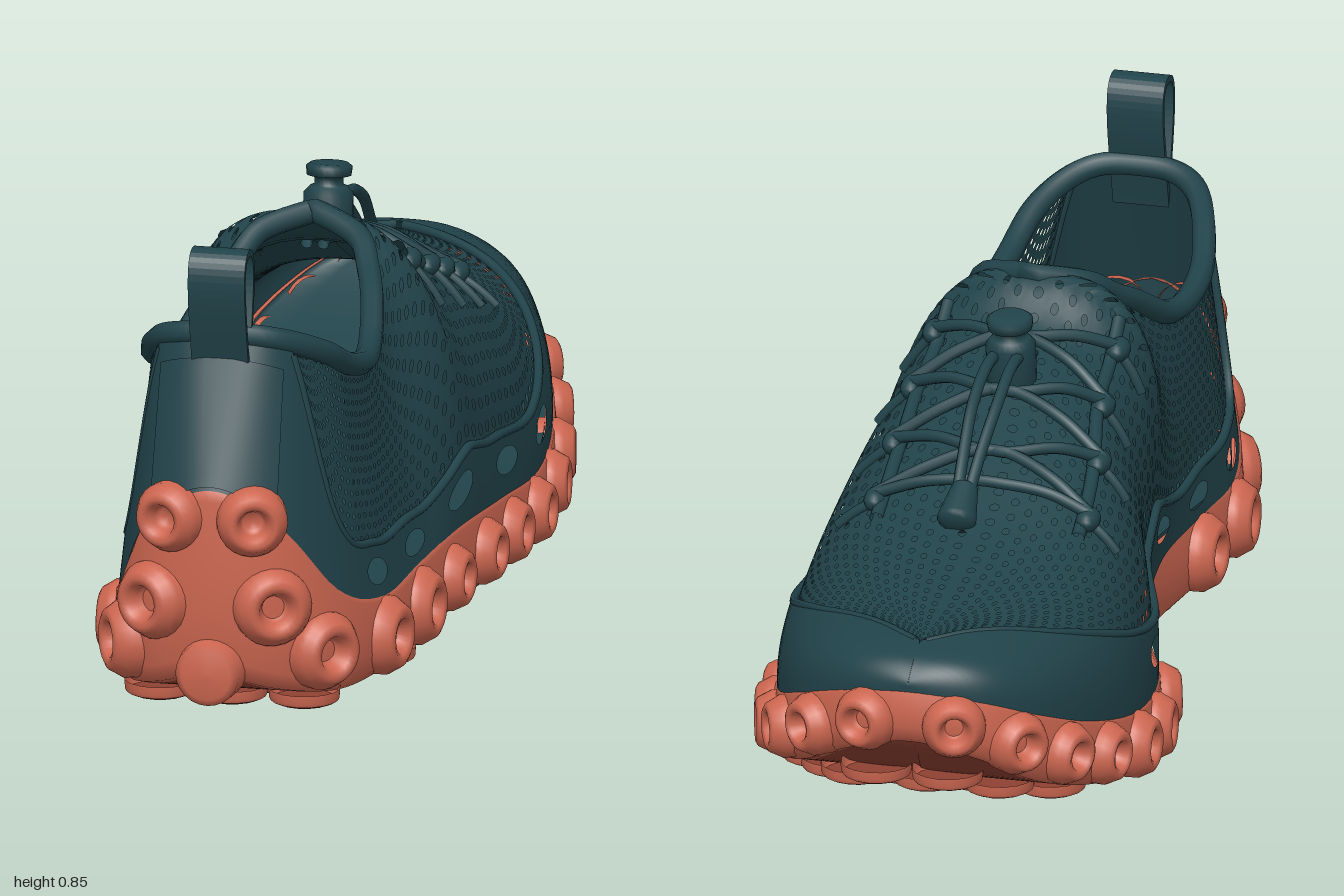
import * as THREE from 'three';
import { mergeVertices, mergeGeometries } from 'three/addons/utils/BufferGeometryUtils.js';

const V = (x, y, z) => new THREE.Vector3(x, y, z);
const lerp = THREE.MathUtils.lerp, smooth = THREE.MathUtils.smoothstep;
const H = 0.962; // half length of the outline

// Ring tables: t = 0 toe, 1 heel (along +x), back to 2 at the toe (along -x)
const ring = (a, b = a) => [...a, ...b.slice(1, -1).reverse()];
const edgeX = ring(
  [-.05, .08, .19, .265, .32, .345, .335, .315, .295, .275, .23, .14, .02],
  [-.05, -.18, -.265, -.32, -.345, -.32, -.23, -.19, -.195, -.205, -.17, -.1, .02]);
const soleTop = ring([.345, .325, .275, .215, .165, .145, .165, .18, .175, .17, .22, .36, .43]);
const soleBottom = ring([.24, .205, .14, .085, .04, .022, .02, .02, .02, .02, .025, .045, .07]);
const upperTop = ring([.355, .385, .4, .415, .46, .55, .635, .66, .56, .575, .63, .67, .685]);
const bandTop = ring([1, 1.1, .9, .5, .25, .12, .1, .11, .22, .24, .31, 1, 1]);

function look(table, t) {
  const n = table.length, s = t * 12, i = Math.floor(s), f = s - i;
  const [a, b, c, d] = [-1, 0, 1, 2].map(k => table[(((i + k) % n) + n) % n]);
  return b + .5 * f * (c - a + f * (2 * a - 5 * b + 4 * c - d + f * (3 * (b - c) + d - a)));
}
const wrap = t => ((t % 2) + 2) % 2;
const uOf = t => (wrap(t) <= 1 ? wrap(t) : 2 - wrap(t));
const tOfZ = z => Math.acos(-z / H) / Math.PI;
const rim = t => V(look(edgeX, t), 0, -H * Math.cos(Math.PI * t));
function rimNormal(t) {
  const d = rim(t + .004).sub(rim(t - .004));
  return V(d.z, 0, -d.x).normalize();
}
const edge = (t, off) => rim(t).addScaledVector(rimNormal(t), off);
const middle = t => (look(edgeX, t) + look(edgeX, 2 - t)) / 2;
const bandV = t => Math.min(1, look(bandTop, t));
// 1 along the waist of the inner side, 0 elsewhere
const arch = t => Math.exp(-(((wrap(t) - 1.44) / .09) ** 2));

// Upper: each section runs from the sole rim (v = 0) to the ridge or collar (v = 1)
const OPEN = .555;
function upper(t, v) {
  const u = uOf(t), side = wrap(t) <= 1 ? 1 : -1, e = edge(t, -.012);
  const s = THREE.MathUtils.clamp((u - OPEN) / (1 - OPEN), 0, 1);
  const open = .18 * Math.pow(Math.max(0, Math.sin(Math.PI * Math.pow(s, .72))), .62);
  const blend = smooth(e.z, .14, .42), a = v * Math.PI / 2;
  const slope = side > 0 ? lerp(.75, .98, smooth(u, .2, .45)) : .75;
  const fx = lerp(Math.pow(Math.max(0, Math.cos(a)), slope), 1 - v, blend);
  const fy = lerp(Math.pow(Math.max(0, Math.sin(a)), .75), v, blend);
  const top = middle(t) - .03 * Math.sin(Math.PI * u) ** 2 + side * open;
  const tongue = .06 * Math.exp(-(((e.z - .17) / .07) ** 2));
  return V(lerp(top, e.x, fx) - .04 * arch(t) * Math.sin(Math.PI * v),
    lerp(look(soleTop, t) - .01, look(upperTop, t) + tongue, fy),
    e.z - .1 * v * smooth(e.z, .3, H));
}
function skin(t, v, off = 0) {
  const p = upper(t, v);
  if (!off) return p;
  const w = THREE.MathUtils.clamp(v, .02, .97);
  const dv = upper(t, w + .015).sub(upper(t, w - .015));
  const dt = upper(t + .004, w).sub(upper(t - .004, w));
  return p.addScaledVector(dv.cross(dt).normalize(), off);
}

function build(points, index) {
  const g = new THREE.BufferGeometry().setFromPoints(points);
  g.setIndex(index);
  const m = mergeVertices(g, 1e-5);
  m.computeVertexNormals();
  return m;
}
function patch(f, t0, t1, v0, v1, nt, nv) {
  const pts = [], idx = [];
  for (let i = 0; i <= nt; i++) for (let j = 0; j <= nv; j++) {
    pts.push(f(lerp(t0, t1, i / nt), lerp(v0, v1, j / nv)));
    if (i < nt && j < nv) {
      const a = i * (nv + 1) + j, b = a + nv + 1;
      idx.push(a, b, a + 1, b, b + 1, a + 1);
    }
  }
  return build(pts, idx);
}
// Rectangular cells, each with an oval hole
function pierced(f, cells, hole, n, rings) {
  const pts = [], idx = [];
  for (const [t0, t1, v0, v1] of cells) {
    const base = pts.length;
    for (let r = 0; r <= rings; r++) for (let k = 0; k <= n; k++) {
      const a = k / n * Math.PI * 2, c = Math.cos(a), s = Math.sin(a);
      const q = 1 / Math.max(Math.abs(c), Math.abs(s)), m = lerp(q, hole, r / rings);
      pts.push(f(lerp(t0, t1, .5 + c * m / 2), lerp(v0, v1, .5 + s * m / 2)));
      if (r < rings && k < n) {
        const i = base + r * (n + 1) + k, j = i + n + 1;
        idx.push(i, j, i + 1, j, j + 1, i + 1);
      }
    }
  }
  return build(pts, idx);
}
const tube = (pts, r, closed = false, n = 40) =>
  new THREE.TubeGeometry(new THREE.CatmullRomCurve3(pts, closed), n, r, 8, closed);
const span = (n, a, b) => Array.from({ length: n + 1 }, (_, i) => lerp(a, b, i / n));
const lathe = (pts, n = 24) => new THREE.LatheGeometry(pts.map(p => new THREE.Vector2(...p)), n);

export function createModel() {
  const group = new THREE.Group();
  const mat = (name, color) => {
    const m = new THREE.MeshStandardMaterial({ color, side: THREE.DoubleSide });
    m.name = name;
    return m;
  };
  const teal = mat('deep teal', 0x21434a), coral = mat('coral rubber', 0xcc6650), tread = mat('dark tread', 0x8a3f30);
  const add = (name, geo, material, pos) => {
    const m = new THREE.Mesh(geo, material);
    m.name = name;
    if (pos) m.position.copy(pos);
    group.add(m);
    return m;
  };

  // Outsole: rim, wall and rounded lower edge, then the flat underside
  const wall = [[-.01, .99], [-.003, 1], [.004, .93], [.008, .6], [.008, .35], [0, .12], [-.015, .02], [-.035, 0]];
  add('outsoleWall', patch((t, v) => {
    const [off, h] = wall[Math.round(v * 7)];
    return edge(t, off - .02 * arch(t)).setY(lerp(look(soleBottom, t), look(soleTop, t), h));
  }, 0, 2, 0, 1, 160, 7), coral);
  add('underside', patch((t, v) => {
    const p = edge(t, -.035 - .02 * arch(t));
    p.x = lerp(p.x, middle(t), v);
    return p.setY(look(soleBottom, t));
  }, 0, 2, 0, 1, 160, 2), tread);
  // Footbed with a raised lip lining the inside of the sole
  add('footbed', patch((t, v) => {
    const p = edge(t, -.014 - .02 * arch(t)), hi = look(soleTop, t);
    p.x = lerp(p.x, middle(t), Math.max(0, v * 5 - 1) / 4);
    return p.setY(v === 0 ? hi + .002 : Math.min(hi - .01, look(soleBottom, t) + .125));
  }, 0, 2, 0, 1, 96, 5), teal);

  // Suction cups around the sole wall
  const cup = lathe([[0, .002], [.3, .002], [.38, .016], [.5, .034], [.68, .038], [.84, .033], [.98, .018], [1.08, .008], [1.1, -.03]]
    .map(([r, y]) => [r * .06, y]));
  const button = lathe([[0, .034], [.045, .032], [.058, .022], [.062, -.03]]);
  const stick = (t, y, size, geo = cup) => {
    const m = add('suctionCup', geo, coral, edge(t, .003).setY(y));
    m.quaternion.setFromUnitVectors(V(0, 1, 0), rimNormal(t));
    m.scale.set(size, 1, size);
  };
  for (const z of [.87, .68, .49, .31, .12, -.04, -.2, -.36, -.5, -.65, -.78, -.885, -.95]) {
    const u = tOfZ(z), lo = look(soleBottom, u);
    const y = Math.min((lo + look(soleTop, u)) / 2, lo + .085), size = z > .4 ? 1.1 : z < -.6 ? .88 : .94;
    stick(u, y, size);
    if (z < -.1 || z > .42) stick(2 - u, y, size);
  }
  for (const s of [-1, 1]) {
    stick(1 + s * .05, .37, .98);
    stick(1 + s * .074, .21, 1.1);
  }
  stick(1, .09, 1, button);

  // Tread studs underneath, with dark worn faces
  const studSide = lathe([[.061, -.01], [.064, -.004], [.065, .012]], 16);
  const studFace = lathe([[0, -.02], [.025, -.019], [.05, -.015], [.061, -.01]], 16);
  for (let r = 0; r < 17; r++) {
    const z = -.86 + r * .107, u = tOfZ(z);
    for (let x = -.36 + (r % 2) * .066; x < .36; x += .132) {
      if (x > look(edgeX, u) - .05 || x < look(edgeX, 2 - u) + .05) continue;
      const p = V(x, look(soleBottom, u), z);
      add('treadStud', studSide, coral, p);
      add('treadFace', studFace, tread, p);
    }
  }

  // Smooth guard around the foot: toe cap, heel counter, and sides with drain windows
  const band = (t, w) => skin(t, bandV(t) * w, .012);
  add('toeCap', patch(band, -.352, .352, 0, 1, 72, 14), teal);
  add('heelCounter', patch(band, .802, 1.198, 0, 1, 48, 14), teal);
  const windows = [];
  for (let i = 0; i < 5; i++) {
    const a = .352 + i * .09;
    windows.push([a, a + .09, 0, 1], [2 - a, 2 - a - .09, 0, 1]);
  }
  add('sideGuard', pierced(band, windows, .47, 32, 4), teal);

  // Open mesh fabric, lined over most of the foot
  const cells = [], cols = 58, rows = 16, step = .8 / cols;
  for (let j = 0; j < rows; j++) for (let i = 0; i < cols; i++) {
    const a = .13 + (i + (j % 2) / 2) * step;
    cells.push([a, a + step, j / rows, (j + 1) / rows], [2 - a, 2 - a - step, j / rows, (j + 1) / rows]);
  }
  const fabric = off => (t, w) => skin(t, lerp(bandV(t), 1, w), off);
  add('meshFabric', pierced(fabric(0), cells, .45, 8, 1), teal);
  for (const s of [0, 1]) {
    add('lining', patch(fabric(-.014), s ? 1.87 : .13, s ? 1.24 : .76, 0, 1, 56, 12), teal);
  }

  // Piping on the guard edge, and padded collar
  for (const s of [0, 1]) {
    add('guardPiping', tube(span(48, .14, .905).map(u => skin(s ? 2 - u : u, bandV(u), .006)), .009, false, 110), teal);
  }
  add('collar', tube(span(44, OPEN, 2 - OPEN).map(t => skin(t, 1)), .022, true, 120), teal);
  add('heelStrip', patch((t, v) => skin(t, v, .02), .925, 1.075, .02, .84, 16, 10), teal);

  // Heel pull loop
  const loop = new THREE.Shape(), inner = new THREE.Path();
  const drop = (s, w, y0, y1) => {
    s.moveTo(0, y0);
    s.bezierCurveTo(w * .3, lerp(y0, y1, .3), w * 1.7, y1, 0, y1);
    s.bezierCurveTo(-w * 1.7, y1, -w * .3, lerp(y0, y1, .3), 0, y0);
  };
  drop(loop, .05, .6, .85);
  drop(inner, .038, .64, .838);
  loop.holes.push(inner);
  const loopGeo = new THREE.ExtrudeGeometry(loop, { depth: .104, bevelEnabled: false, curveSegments: 20 });
  loopGeo.rotateY(-Math.PI / 2);
  add('pullLoop', loopGeo, teal, V(.072, 0, .872));

  // Eyelets on a stay, with short webbing tabs
  const eyes = [.379, .432, .483, .534], ev = .64;
  const knob = new THREE.SphereGeometry(.027, 14, 10);
  for (const u of eyes) for (const t of [u, 2 - u]) {
    add('eyelet', knob, teal, skin(t, ev, .008)).scale.set(.8, .8, 1.3);
    add('webbing', tube(span(6, .46, ev).map(v => skin(t, v, .003)), .01, false, 16), teal);
  }
  for (const s of [0, 1]) {
    add('eyeStay', tube(span(14, .36, .55).map(u => skin(s ? 2 - u : u, ev + .02, .003)), .013), teal);
  }

  // Crossed elastic laces
  const lace = (a, b) => {
    const m = (a + b) / 2;
    add('lace', tube([skin(a, ev, .02), skin(lerp(a, m, .5), .82, .02), skin(m, .97, .02),
      skin(2 - m, .97, .02), skin(2 - lerp(b, m, .5), .82, .02), skin(2 - b, ev, .02)], .011), teal);
  };
  lace(eyes[0], eyes[0]);
  for (let i = 0; i < 3; i++) {
    lace(eyes[i], eyes[i + 1]);
    lace(eyes[i + 1], eyes[i]);
  }

  // Cord lock, its free cords, and the end toggle
  const barrel = lathe([[0, -.055], [.036, -.055], [.045, -.04], [.045, .03], [.034, .042], [.026, .045], [.026, .058],
    [.04, .062], [.042, .078], [.034, .084], [0, .085]]);
  add('cordLock', barrel, teal, V(0, .655, -.08)).rotation.x = -.12;
  for (const s of [-1, 1]) {
    add('freeCord', tube([V(s * .015, .62, .03), V(s * .02, .66, -.06), V(s * .022, .668, -.16), V(s * .022, .63, -.26),
      V(s * .015, .565, -.35), V(s * .01, .51, -.41)], .011), teal);
  }
  const toggle = mergeGeometries([new THREE.CylinderGeometry(.024, .036, .07, 16),
    new THREE.SphereGeometry(.036, 16, 10).scale(1, .5, 1).translate(0, -.035, 0)]);
  add('cordToggle', toggle, teal, V(0, .5, -.42)).rotation.x = .95;

  return group;
}
